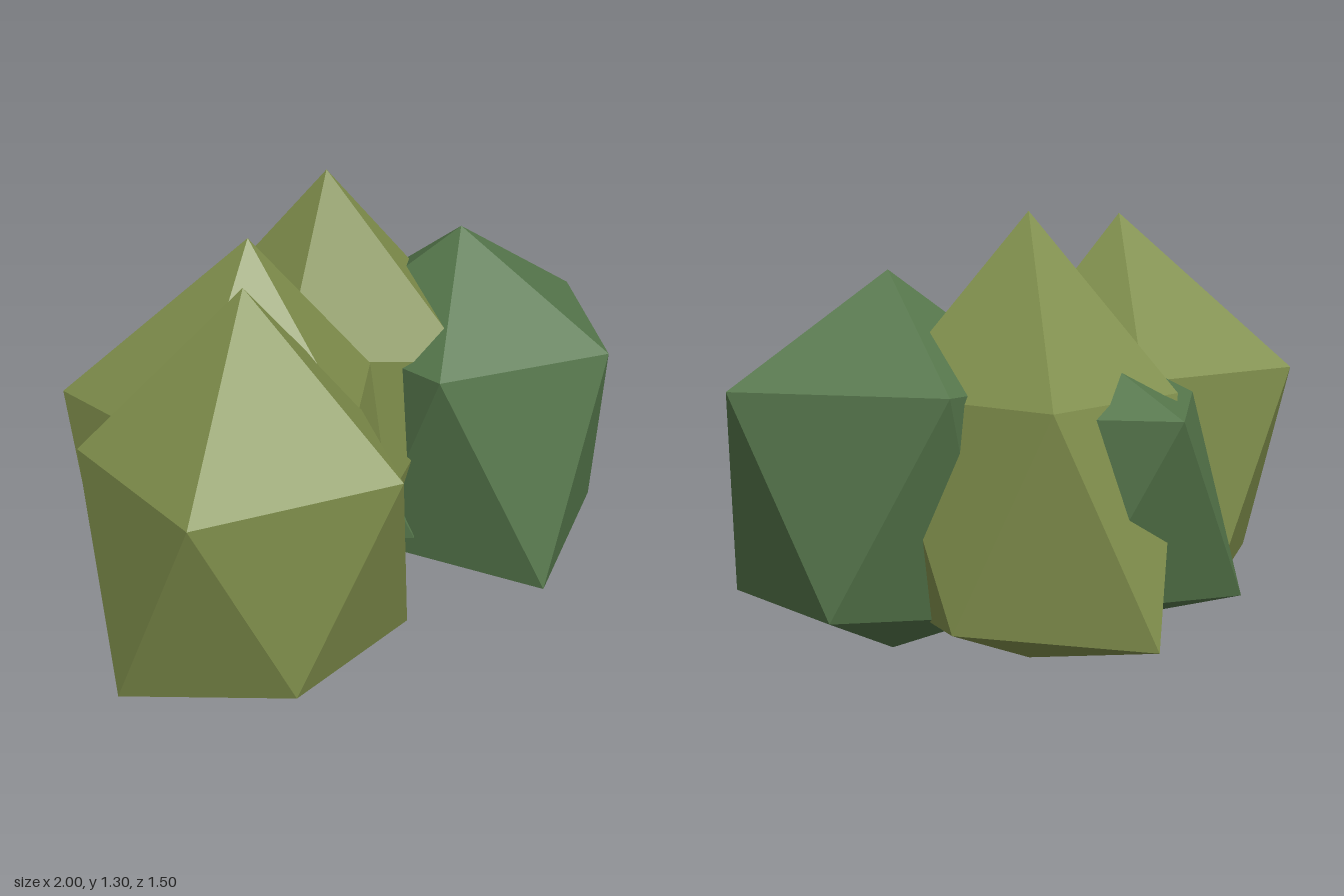
import * as THREE from 'three';

// Closed faceted clump: top point, upper ring, staggered lower ring, bottom point.
// Ring points run from +x towards +z; lower[i] sits between upper[i] and upper[i + 1].
function clump(name, material, top, upper, lower, bottom) {
  const corners = [];
  for (let i = 0; i < 5; i++) {
    const j = (i + 1) % 5;
    corners.push(top, upper[j], upper[i]);
    corners.push(upper[i], upper[j], lower[i]);
    corners.push(lower[i], upper[j], lower[j]);
    corners.push(bottom, lower[i], lower[j]);
  }
  const geometry = new THREE.BufferGeometry();
  geometry.setAttribute('position', new THREE.Float32BufferAttribute(corners.flat(), 3));
  geometry.computeVertexNormals();
  const mesh = new THREE.Mesh(geometry, material);
  mesh.name = name;
  return mesh;
}

export function createModel() {
  const model = new THREE.Group();
  model.name = 'bush';

  const olive = new THREE.MeshStandardMaterial({ color: 0x808f4c, flatShading: true });
  olive.name = 'olive leaves';
  const green = new THREE.MeshStandardMaterial({ color: 0x55764b, flatShading: true });
  green.name = 'dark green leaves';

  // Front clump on the -x side
  model.add(clump('frontOliveClump', olive, [-0.53, 1.23, 0.28],
    [[-0.13, 0.79, 0.29], [-0.39, 0.79, 0.75], [-0.97, 0.79, 0.59], [-0.9, 0.79, 0.02], [-0.38, 0.79, -0.14]],
    [[-0.15, 0.19, 0.53], [-0.68, 0.22, 0.66], [-1, 0.19, 0.3], [-0.65, 0.2, -0.11], [-0.17, 0.2, 0.03]],
    [-0.53, 0.05, 0.28]));

  // Middle clump
  model.add(clump('middleOliveClump', olive, [-0.34, 1.27, 0.07],
    [[0.06, 0.81, 0.14], [-0.28, 0.8, 0.44], [-0.72, 0.8, 0.25], [-0.72, 0.8, -0.31], [-0.14, 0.8, -0.31]],
    [[-0.03, 0.18, 0.38], [-0.54, 0.2, 0.46], [-0.78, 0.18, -0.04], [-0.4, 0.15, -0.34], [0.05, 0.17, -0.11]],
    [-0.34, 0.01, 0.07]));

  // Back clump, the tallest
  model.add(clump('backOliveClump', olive, [0.19, 1.3, -0.2],
    [[0.62, 0.8, -0.09], [0.25, 0.83, 0.36], [-0.11, 0.8, -0.05], [-0.08, 0.8, -0.54], [0.39, 0.79, -0.6]],
    [[0.45, 0.14, 0.11], [-0.03, 0.16, 0.15], [-0.22, 0.16, -0.3], [0.13, 0.13, -0.73], [0.57, 0.17, -0.38]],
    [0.19, 0, -0.2]));

  // Large dark clump on the +x side
  model.add(clump('sideGreenClump', green, [0.48, 1.13, 0.09],
    [[1, 0.82, 0.08], [0.68, 0.79, 0.53], [0.12, 0.8, 0.37], [0.12, 0.8, -0.17], [0.57, 0.82, -0.38]],
    [[0.86, 0.19, 0.34], [0.37, 0.12, 0.59], [0.1, 0.18, 0.1], [0.36, 0.16, -0.25], [0.82, 0.19, -0.15]],
    [0.48, 0.01, 0.09]));

  // Dark clump mostly buried in the back clump
  model.add(clump('backGreenClump', green, [0.12, 0.97, -0.28],
    [[0.42, 0.78, 0], [-0.06, 0.76, 0.1], [-0.31, 0.76, -0.33], [0.07, 0.76, -0.75], [0.41, 0.76, -0.43]],
    [[0.16, 0.23, 0.24], [-0.24, 0.23, -0.08], [-0.23, 0.22, -0.65], [0.27, 0.23, -0.55], [0.5, 0.23, -0.2]],
    [0.12, 0.1, -0.28]));

  return model;
}
